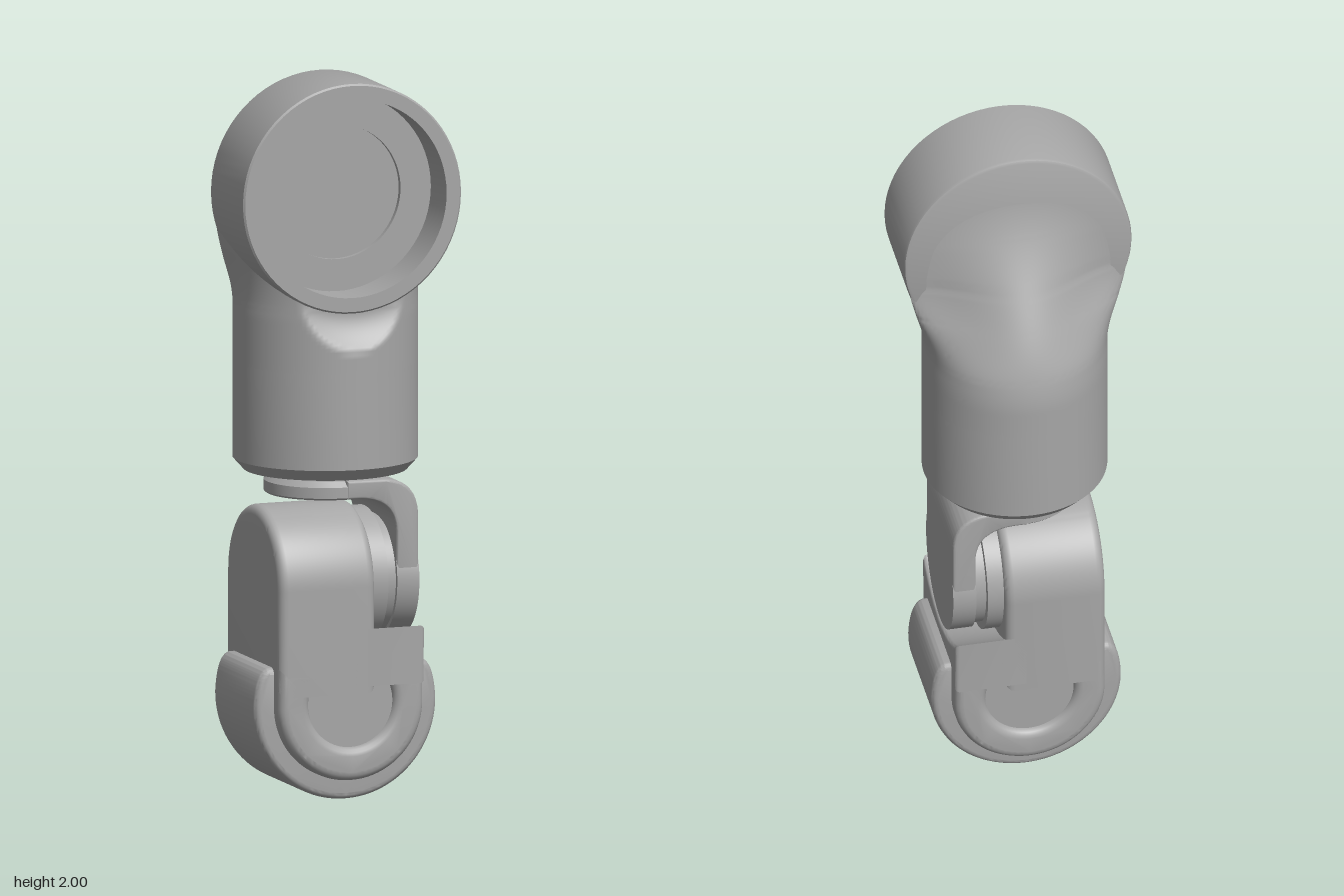
import * as THREE from 'three';
import { toCreasedNormals } from 'three/addons/utils/BufferGeometryUtils.js';

const RING_Y = 1.68;   // centre of the upper socket ring
const PIVOT_Y = 0.6;   // axis of the middle joint
const PIN_Y = 0.27;    // axis of the lower joint
const { smoothstep, lerp } = THREE.MathUtils;

export function createModel() {
  const model = new THREE.Group();
  const grey = new THREE.MeshStandardMaterial({ color: 0xa6a6a6 });
  grey.name = 'machined grey';

  function add(name, geometry, crease = 0.5) {
    const mesh = new THREE.Mesh(toCreasedNormals(geometry, crease), grey);
    mesh.name = name;
    model.add(mesh);
    return mesh;
  }

  const lathe = (points) =>
    new THREE.LatheGeometry(points.map(([r, y]) => new THREE.Vector2(r, y)), 72);

  // Extrude along z between lo and hi, with a rounded edge inside the outline
  function slab(shape, lo, hi, bevel) {
    return new THREE.ExtrudeGeometry(shape, {
      depth: hi - lo - 2 * bevel, curveSegments: 32, bevelEnabled: bevel > 0,
      bevelThickness: bevel, bevelSize: bevel, bevelOffset: -bevel, bevelSegments: 4,
    }).translate(0, 0, lo + bevel);
  }
  // The same along x; the shape is drawn in (z, y)
  const sideSlab = (shape, lo, hi, bevel) => slab(shape, lo, hi, bevel).rotateY(Math.PI / 2);

  // Upper socket: ring with a stepped recess open to the front
  add('socketRing', lathe([
    [0, -0.05], [0.31, -0.05], [0.317, -0.047], [0.32, -0.04], [0.32, 0.207], [0.315, 0.212],
    [0.276, 0.212], [0.276, 0.09], [0.187, 0.09], [0.187, 0.075], [0, 0.075],
  ]).rotateX(Math.PI / 2).translate(0, RING_Y, 0));

  // Upper arm: plain sleeve with chamfered foot
  add('sleeve', lathe([
    [0, 0.93], [0.19, 0.93], [0.2, 0.9], [0.226, 0.9], [0.255, 0.932], [0.255, 1.22],
  ]));

  // Shoulder blending the sleeve into the ring
  add('shoulderBlend', shoulder(), 0.8);

  // Neck and bent bracket
  add('neck', new THREE.CylinderGeometry(0.14, 0.14, 0.06, 48).translate(0, 0.91, 0));
  add('bracketTop', lathe([
    [0, 0.835], [0.165, 0.835], [0.17, 0.84], [0.17, 0.87], [0.155, 0.885], [0, 0.89],
  ]));
  const bend = new THREE.Shape();
  bend.moveTo(0, 0.835);
  bend.lineTo(0, 0.887);
  bend.lineTo(0.11, 0.887);
  bend.quadraticCurveTo(0.21, 0.88, 0.21, 0.775);
  bend.lineTo(0.21, PIVOT_Y);
  bend.lineTo(0.145, PIVOT_Y);
  bend.lineTo(0.145, 0.74);
  bend.quadraticCurveTo(0.14, 0.835, 0.03, 0.835);
  add('bracketBend', slab(bend, -0.172, 0.172, 0.008));
  add('bracketEye', new THREE.CylinderGeometry(0.176, 0.176, 0.065, 64)
    .rotateZ(Math.PI / 2).translate(0.1775, PIVOT_Y, 0));

  // Stepped hub between bracket and lower link
  [[0.187, 0.115], [0.165, 0.15]].forEach(([r, x]) =>
    add('pivotHub', new THREE.CylinderGeometry(r, r, x, 64)
      .rotateZ(Math.PI / 2).translate(x / 2, PIVOT_Y, 0)));

  // Lower link: arched tongue
  const arch = new THREE.Shape();
  arch.moveTo(-0.212, 0.3);
  arch.lineTo(0.212, 0.3);
  arch.lineTo(0.212, PIVOT_Y - 0.005);
  arch.absarc(0, PIVOT_Y - 0.005, 0.212, 0, Math.PI, false);
  add('linkTongue', sideSlab(arch, -0.212, 0.07, 0.025));

  // Lower link: saddle under the bracket eye
  const saddle = new THREE.Shape();
  saddle.moveTo(-0.212, 0.32);
  saddle.lineTo(0.212, 0.32);
  saddle.lineTo(0.212, 0.48);
  saddle.quadraticCurveTo(0, 0.34, -0.212, 0.48);
  add('linkSaddle', sideSlab(saddle, 0, 0.212, 0.012));

  // Lower link: rounded knuckle with pin bore
  const knuckle = new THREE.Shape();
  knuckle.moveTo(0.212, 0.38);
  knuckle.lineTo(-0.212, 0.38);
  knuckle.lineTo(-0.212, PIN_Y);
  knuckle.absarc(0, PIN_Y, 0.212, Math.PI, Math.PI * 2, false);
  const bore = new THREE.Path();
  bore.absarc(0, PIN_Y + 0.005, 0.123, 0, Math.PI * 2, true);
  knuckle.holes.push(bore);
  add('linkKnuckle', slab(knuckle, -0.212, 0.212, 0.025));
  add('pin', new THREE.CylinderGeometry(0.13, 0.13, 0.385, 64)
    .rotateX(Math.PI / 2).translate(0, PIN_Y + 0.005, 0));

  // Cradle wrapped around the knuckle
  const cradle = new THREE.Shape();
  cradle.moveTo(0.225, 0.378);
  cradle.lineTo(-0.225, 0.378);
  cradle.quadraticCurveTo(-0.262, 0.37, -0.267, PIN_Y);
  cradle.absarc(0, 0.267, 0.267, Math.PI, Math.PI * 2, false);
  cradle.quadraticCurveTo(0.262, 0.37, 0.225, 0.378);
  add('cradle', slab(cradle, -0.162, 0.162, 0.018));

  return model;
}

// Stacked sections: a circle at the sleeve that flares and flattens onto the ring's back
function shoulder() {
  const y0 = 1.2, y1 = 1.98, rows = 78, cols = 120;
  const position = [], index = [];
  for (let i = 0; i <= rows; i++) {
    const y = lerp(y0, y1, i / rows), dy = y - RING_Y;
    const flare = 0.255 + 0.05 * smoothstep(y, 1.36, 1.62);
    const width = dy > -0.08 ? Math.min(flare, Math.sqrt(0.309 ** 2 - dy * dy)) : flare;
    const back = lerp(-0.255, -0.045, smoothstep(y, 1.28, 1.91));
    const edge = -0.045 * smoothstep(y, 1.34, 1.5);
    const bell = smoothstep(y, 1.36, 1.62);
    for (let j = 0; j < cols; j++) {
      const a = (j / cols) * Math.PI * 2;
      const t = Math.sin(a), round = Math.abs(Math.cos(a)), x = width * t;
      let z;
      if (Math.cos(a) < 0) {
        z = edge + (back - edge) * lerp(round, 0.5 + 0.5 * Math.cos(Math.PI * t), bell);
      } else {
        // front is scooped around the ring and kept clear of its recess
        const r = Math.hypot(x, dy);
        const limit = r < 0.3 ? 0 : 0.207 + 0.048 * Math.max(0, (r - 0.32) / 0.1) ** 1.7;
        z = Math.min(edge + (0.255 - edge) * round, limit);
      }
      position.push(x, y, z);
      if (i < rows) {
        const k = (j + 1) % cols, p = i * cols, q = p + cols;
        index.push(p + j, p + k, q + k, p + j, q + k, q + j);
      }
    }
  }
  const geometry = new THREE.BufferGeometry();
  geometry.setAttribute('position', new THREE.Float32BufferAttribute(position, 3));
  geometry.setIndex(index);
  return geometry;
}
